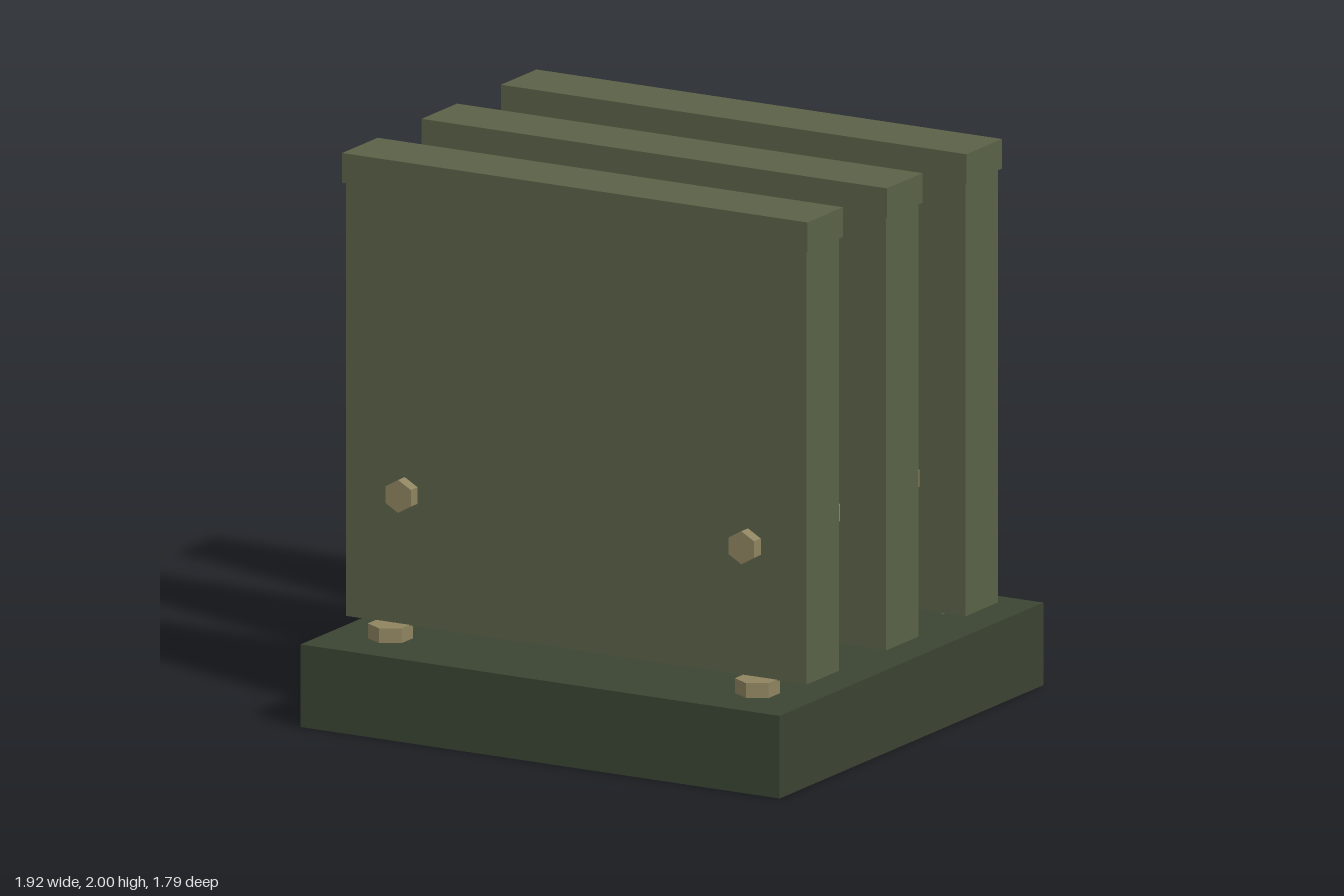
import * as THREE from 'three';

export function createModel() {
  const model = new THREE.Group();
  model.name = 'slabRack';

  const material = (name, color) => {
    const m = new THREE.MeshStandardMaterial({ color, flatShading: true });
    m.name = name;
    return m;
  };
  const darkGreen = material('dark green', 0x3b4433);
  const olive = material('olive', 0x5a6247);
  const brass = material('dull brass', 0x8f8460);

  const add = (parent, name, geometry, mat, x, y, z) => {
    const mesh = new THREE.Mesh(geometry, mat);
    mesh.name = name;
    mesh.position.set(x, y, z);
    parent.add(mesh);
    return mesh;
  };

  // Base block
  add(model, 'base', new THREE.BoxGeometry(1.92, 0.295, 1.794), darkGreen, 0, 0.1475, 0);

  // Three upright slabs, each with a cap and two hexagonal bolts on its front
  const slabGeo = new THREE.BoxGeometry(1.846, 1.55, 0.22);
  const capGeo = new THREE.BoxGeometry(1.866, 0.106, 0.242);
  const slabBoltGeo = new THREE.CylinderGeometry(0.059, 0.059, 0.047, 6).rotateX(Math.PI / 2);
  for (const z of [-0.54, 0, 0.54]) {
    const panel = new THREE.Group();
    panel.name = 'panel';
    panel.position.z = z;
    model.add(panel);
    add(panel, 'slab', slabGeo, olive, 0, 1.121, 0);
    add(panel, 'cap', capGeo, olive, 0, 1.947, 0);
    for (const side of [-1, 1]) {
      add(panel, 'slabBolt', slabBoltGeo, brass, side * 0.688, 0.814, 0.1325);
    }
  }

  // Hexagonal bolts at the corners of the base
  const baseBoltGeo = new THREE.CylinderGeometry(0.078, 0.078, 0.053, 6);
  for (const sx of [-1, 1]) {
    for (const sz of [-1, 1]) {
      add(model, 'baseBolt', baseBoltGeo, brass, sx * 0.736, 0.3215, sz * 0.667);
    }
  }

  return model;
}
